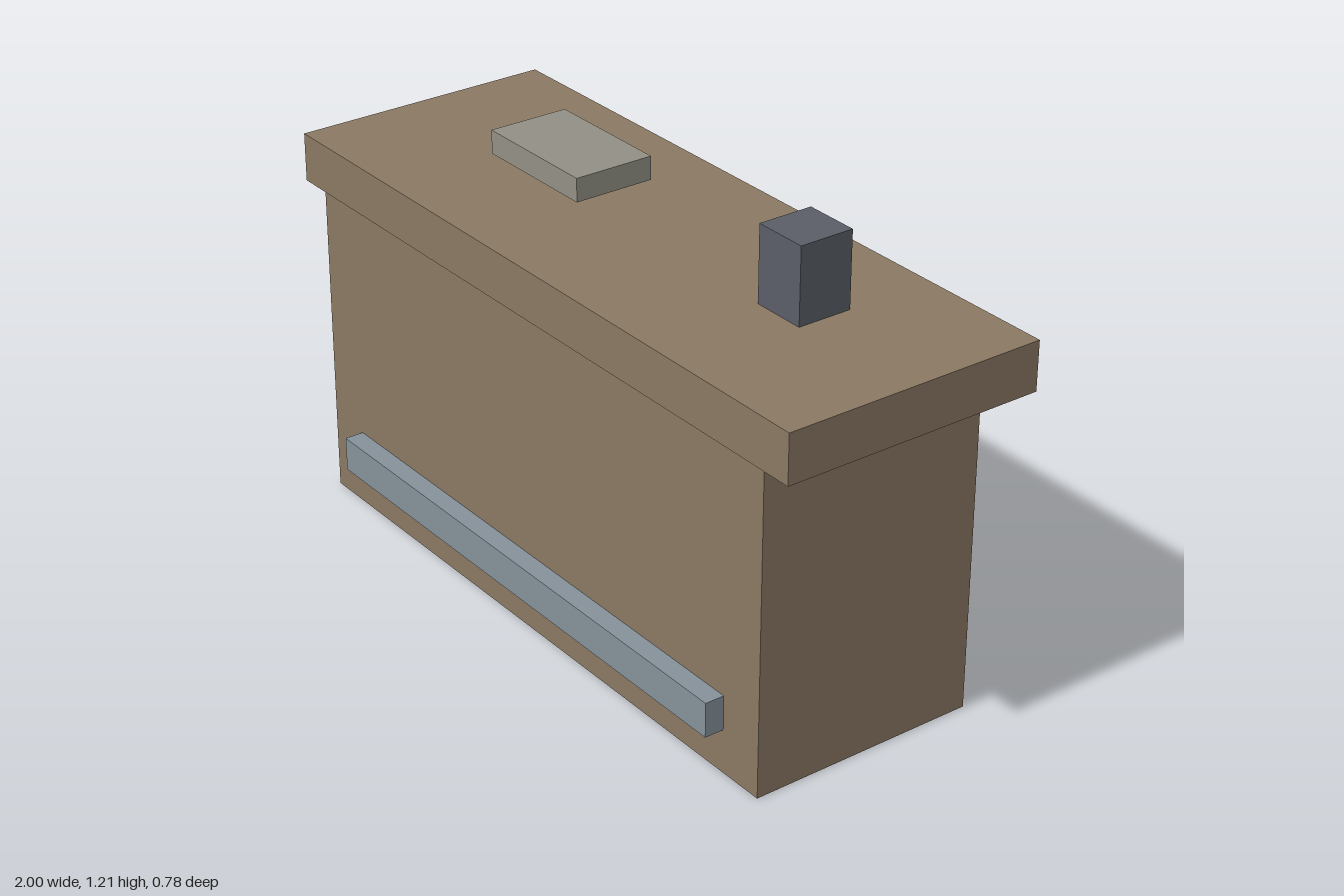
import * as THREE from 'three';

const material = (name, color) => {
  const m = new THREE.MeshStandardMaterial({ color });
  m.name = name;
  return m;
};

export function createModel() {
  const group = new THREE.Group();
  group.name = 'counter';

  const wood = material('brown wood', 0x8a7963);
  const steel = material('blue grey steel', 0x86919a);
  const paleGrey = material('warm pale grey', 0x929085);
  const darkGrey = material('dark slate', 0x5a5e67);

  // Box given by its [min, max] extent on each axis
  const block = (name, mat, x, y, z) => {
    const size = [x, y, z].map(([a, b]) => b - a);
    const centre = [x, y, z].map(([a, b]) => (a + b) / 2);
    const mesh = new THREE.Mesh(new THREE.BoxGeometry(...size), mat);
    mesh.position.set(...centre);
    mesh.name = name;
    group.add(mesh);
  };

  // Counter cabinet and its overhanging top
  block('cabinet', wood, [-0.913, 0.913], [0, 0.875], [-0.3, 0.337]);
  block('countertop', wood, [-1, 1], [0.875, 1.008], [-0.39, 0.341]);

  // Foot rail along the front
  block('footRail', steel, [-0.783, 0.783], [0.12, 0.215], [0.337, 0.39]);

  // Items on the counter; the tray sits just clear of the top
  block('tray', paleGrey, [-0.579, -0.207], [1.021, 1.086], [-0.191, 0.037]);
  block('dispenser', darkGrey, [0.475, 0.626], [1.008, 1.214], [-0.143, 0.009]);

  return group;
}
